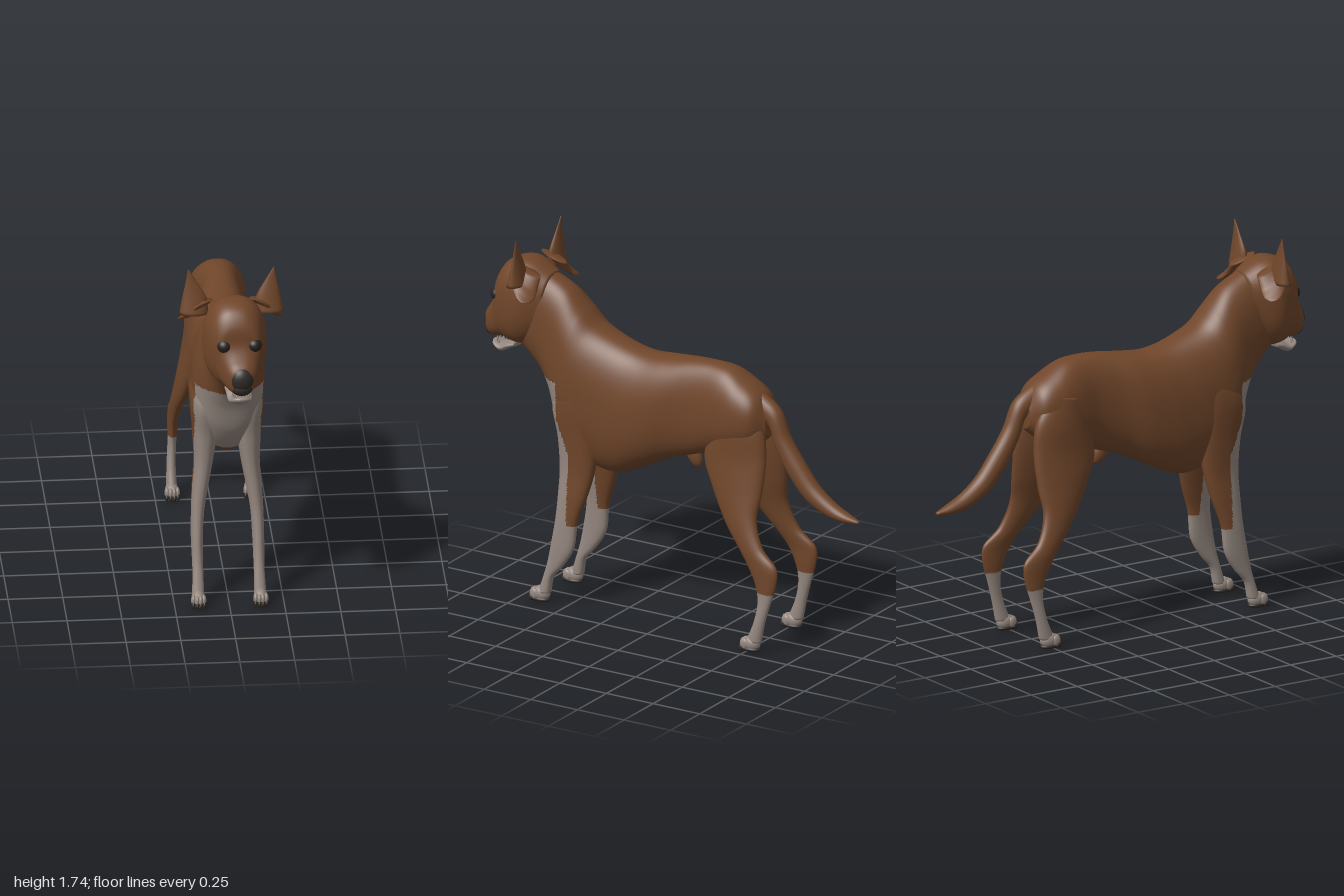
import * as THREE from 'three';

const mat = (name, color) => {
  const m = new THREE.MeshStandardMaterial({ color });
  m.name = name;
  return m;
};

// Markings: white chest, forelegs and hind socks on a brown coat
function isWhite(y, z) {
  if (z < 0) return y < 0.29;
  if (y < 0.4) return true;
  if (y > 1.08) return false;
  const edge = THREE.MathUtils.mapLinear(THREE.MathUtils.clamp(y, 0.75, 0.9), 0.75, 0.9, 0.49, 0.55);
  return z > edge;
}

// Smooth closed loft. Section: [x, yA, zA, yB, zB, halfWidth]; A and B are opposite points of an oval.
// A power below 1 makes the oval squarer.
function loft(sections, rings, sides, { side = 1, power = 1, rule = null } = {}) {
  const cA = new THREE.CatmullRomCurve3(sections.map(s => new THREE.Vector3(s[0] * side, s[1], s[2])));
  const cB = new THREE.CatmullRomCurve3(sections.map(s => new THREE.Vector3(s[5], s[3], s[4])));
  const round = v => Math.sign(v) * Math.abs(v) ** power;
  const pos = [], centres = [], idx = [[], []];
  let turn = 0;
  for (let i = 0; i <= rings; i++) {
    const a = cA.getPoint(i / rings), b = cB.getPoint(i / rings);
    const hy = (a.y - b.y) / 2, hz = (a.z - b.z) / 2;
    const c = new THREE.Vector3(a.x, (a.y + b.y) / 2, (a.z + b.z) / 2);
    if (i) turn += -hz * (c.y - centres[i - 1].y) + hy * (c.z - centres[i - 1].z);
    centres.push(c);
    for (let j = 0; j < sides; j++) {
      const t = j / sides * Math.PI * 2, s = round(Math.sin(t));
      pos.push(c.x + round(Math.cos(t)) * b.x, c.y + s * hy, c.z + s * hz);
    }
  }
  const tri = (a, b, c) => {
    const mean = k => (pos[a * 3 + k] + pos[b * 3 + k] + pos[c * 3 + k]) / 3;
    const list = idx[rule && rule(mean(1), mean(2)) ? 1 : 0];
    if (turn > 0) list.push(a, b, c); else list.push(a, c, b);
  };
  const first = pos.length / 3, last = first + 1;
  for (const c of [centres[0], centres[rings]]) pos.push(c.x, c.y, c.z);
  for (let j = 0; j < sides; j++) {
    const k = (j + 1) % sides, end = rings * sides;
    for (let i = 0; i < rings; i++) {
      const p = i * sides, q = p + sides;
      tri(p + j, p + k, q + k);
      tri(p + j, q + k, q + j);
    }
    tri(first, k, j);
    tri(last, end + j, end + k);
  }
  const g = new THREE.BufferGeometry();
  g.setAttribute('position', new THREE.Float32BufferAttribute(pos, 3));
  g.setIndex([...idx[0], ...idx[1]]);
  if (rule) {
    g.addGroup(0, idx[0].length, 0);
    g.addGroup(idx[0].length, idx[1].length, 1);
  }
  g.computeVertexNormals();
  return g;
}

export function createModel() {
  const model = new THREE.Group();
  model.name = 'dog';
  const brown = mat('brown coat', 0x70462a);
  const white = mat('white fur', 0x94877f);
  const dark = mat('dark nose and claws', 0x2f2a26);
  const eyeDark = mat('dark eye', 0x26211e);
  const coat = [brown, white];

  const add = (name, geometry, material, parent = model) => {
    const m = new THREE.Mesh(geometry, material);
    m.name = name;
    parent.add(m);
    return m;
  };
  const ball = (name, material, p, r, parent = model) => {
    const m = add(name, new THREE.SphereGeometry(1, 20, 14), material, parent);
    m.position.set(...p);
    m.scale.set(...r);
    return m;
  };

  // Neck and torso
  add('body', loft([
    [0.012, 1.56, 0.66, 1.18, 0.79, 0.105],
    [0.01, 1.5, 0.545, 1.09, 0.695, 0.122],
    [0.005, 1.42, 0.465, 1.0, 0.64, 0.15],
    [0.005, 1.355, 0.40, 0.85, 0.59, 0.166],
    [0.005, 1.31, 0.30, 0.73, 0.50, 0.165],
    [0.005, 1.28, 0.2, 0.665, 0.37, 0.162],
    [0.005, 1.27, 0.12, 0.665, 0.27, 0.162],
    [0.008, 1.28, 0, 0.73, 0.12, 0.15],
    [0.018, 1.295, -0.12, 0.79, 0, 0.122],
    [0.022, 1.30, -0.22, 0.83, -0.12, 0.112],
    [0.02, 1.29, -0.32, 0.87, -0.24, 0.124],
    [0.02, 1.25, -0.4, 0.9, -0.36, 0.132],
    [0.022, 1.195, -0.48, 0.95, -0.47, 0.112],
    [0.025, 1.12, -0.525, 1.0, -0.53, 0.05],
  ], 190, 104, { power: 0.86, rule: isWhite }), coat);

  // Tail
  add('tail', loft([
    [0.025, 1.235, -0.38, 1.08, -0.42, 0.045],
    [0.026, 1.185, -0.5, 1.07, -0.48, 0.046],
    [0.028, 1.13, -0.575, 1.045, -0.525, 0.045],
    [0.03, 1.01, -0.63, 0.965, -0.555, 0.045],
    [0.03, 0.90, -0.705, 0.84, -0.625, 0.046],
    [0.03, 0.80, -0.785, 0.73, -0.72, 0.044],
    [0.03, 0.735, -0.87, 0.672, -0.83, 0.038],
    [0.03, 0.7, -0.94, 0.656, -0.92, 0.03],
    [0.03, 0.675, -1.0, 0.66, -0.998, 0.01],
  ], 56, 24), brown);

  // Belly sheath
  const sheath = ball('sheath', brown, [0.02, 0.835, -0.105], [0.028, 0.075, 0.038]);
  sheath.rotation.x = 0.45;

  // Head
  const head = new THREE.Group();
  head.name = 'head';
  model.add(head);
  add('skull and muzzle', loft([
    [0.01, 1.55, 0.64, 1.26, 0.68, 0.1],
    [0.01, 1.602, 0.73, 1.2, 0.76, 0.138],
    [0.012, 1.612, 0.785, 1.19, 0.80, 0.145],
    [0.015, 1.585, 0.865, 1.195, 0.85, 0.126],
    [0.02, 1.52, 0.91, 1.205, 0.88, 0.106],
    [0.024, 1.43, 0.922, 1.208, 0.905, 0.092],
    [0.03, 1.365, 0.955, 1.205, 0.94, 0.073],
    [0.03, 1.328, 0.98, 1.212, 0.968, 0.05],
    [0.03, 1.29, 0.988, 1.24, 0.984, 0.018],
  ], 60, 48, { power: 0.82 }), brown, head);
  add('lower jaw', loft([
    [0.02, 1.2, 0.82, 1.17, 0.825, 0.058],
    [0.025, 1.192, 0.86, 1.155, 0.86, 0.058],
    [0.028, 1.175, 0.905, 1.135, 0.9, 0.054],
    [0.03, 1.185, 0.945, 1.15, 0.935, 0.04],
    [0.03, 1.18, 0.957, 1.168, 0.955, 0.012],
  ], 24, 24), white, head);
  for (let i = 0; i < 7; i++) {
    const t = (i / 6 - 0.5) * 2.4;
    const tooth = add('tooth', new THREE.ConeGeometry(0.007, 0.022, 8), white, head);
    tooth.position.set(0.03 + Math.sin(t) * 0.04, 1.187, 0.895 + Math.cos(t) * 0.043);
  }
  ball('nose', dark, [0.032, 1.283, 0.958], [0.055, 0.062, 0.042], head);
  ball('upper lip', dark, [0.032, 1.24, 0.954], [0.05, 0.038, 0.04], head);

  for (const s of [1, -1]) {
    const label = s > 0 ? 'left' : 'right';
    ball(label + ' eye', eyeDark, [0.025 + s * 0.069, 1.427, 0.898], [0.034, 0.033, 0.034], head);

    // Pointed ear with a thin folded flap at its base
    add(label + ' ear point', loft([
      [0.172, 1.525, 0.785, 1.525, 0.71, 0.066],
      [0.169, 1.6, 0.768, 1.6, 0.722, 0.056],
      [0.181, 1.675, 0.752, 1.675, 0.733, 0.028],
      [0.195, 1.742, 0.742, 1.742, 0.738, 0.002],
    ], 16, 20, { side: s }), brown, head);
    add(label + ' ear flap', loft([
      [0.11, 1.6, 0.79, 1.56, 0.66, 0.03],
      [0.15, 1.58, 0.79, 1.5, 0.655, 0.03],
      [0.185, 1.53, 0.765, 1.475, 0.648, 0.03],
      [0.213, 1.495, 0.73, 1.465, 0.655, 0.024],
      [0.232, 1.475, 0.70, 1.465, 0.675, 0.008],
    ], 24, 20, { side: s }), brown, head);

    // Legs
    add(label + ' front leg', loft([
      [0.09, 1.1, 0.53, 1.15, 0.36, 0.06],
      [0.1, 0.98, 0.59, 1.03, 0.345, 0.07],
      [0.1, 0.81, 0.565, 0.82, 0.355, 0.058],
      [0.107, 0.66, 0.552, 0.66, 0.375, 0.044],
      [0.122, 0.54, 0.553, 0.54, 0.405, 0.037],
      [0.135, 0.42, 0.56, 0.42, 0.445, 0.03],
      [0.14, 0.3, 0.58, 0.28, 0.465, 0.027],
      [0.14, 0.2, 0.6, 0.19, 0.52, 0.025],
      [0.14, 0.13, 0.62, 0.13, 0.57, 0.025],
      [0.142, 0.05, 0.645, 0.05, 0.587, 0.028],
    ], 110, 56, { side: s, power: 0.86, rule: isWhite }), coat);
    const hindLeg = add(label + ' hind leg', loft([
      [0.07, 1.13, -0.27, 1.16, -0.44, 0.045],
      [0.074, 0.99, -0.24, 1.04, -0.515, 0.058],
      [0.082, 0.86, -0.21, 0.9, -0.535, 0.055],
      [0.108, 0.73, -0.27, 0.74, -0.53, 0.048],
      [0.138, 0.58, -0.36, 0.62, -0.52, 0.038],
      [0.16, 0.47, -0.45, 0.5, -0.565, 0.03],
      [0.17, 0.40, -0.50, 0.415, -0.648, 0.025],
      [0.172, 0.33, -0.535, 0.33, -0.645, 0.023],
      [0.175, 0.25, -0.552, 0.25, -0.62, 0.02],
      [0.18, 0.15, -0.535, 0.15, -0.592, 0.021],
      [0.18, 0.05, -0.495, 0.05, -0.572, 0.025],
    ], 110, 48, { side: s, rule: isWhite }), coat);
    hindLeg.position.x = 0.007;

    // Paws: foot, dark pad, four toes with claws
    for (const [end, x, z] of [['front', s * 0.142, 0.64], ['hind', s * 0.18 + 0.007, -0.515]]) {
      const paw = new THREE.Group();
      paw.name = `${label} ${end} paw`;
      paw.position.set(x, 0, z);
      model.add(paw);
      ball('foot', white, [0, 0.04, -0.005], [0.031, 0.036, 0.045], paw);
      ball('pad', dark, [0, 0.015, 0], [0.032, 0.015, 0.052], paw);
      for (let i = 0; i < 4; i++) {
        const u = i - 1.5, reach = 0.035 - Math.abs(u) * 0.009;
        ball('toe', white, [u * 0.016, 0.039, reach - 0.002], [0.011, 0.026, 0.022], paw);
        ball('claw', dark, [u * 0.017, 0.02, reach + 0.012], [0.009, 0.016, 0.015], paw);
      }
    }
  }
  return model;
}
